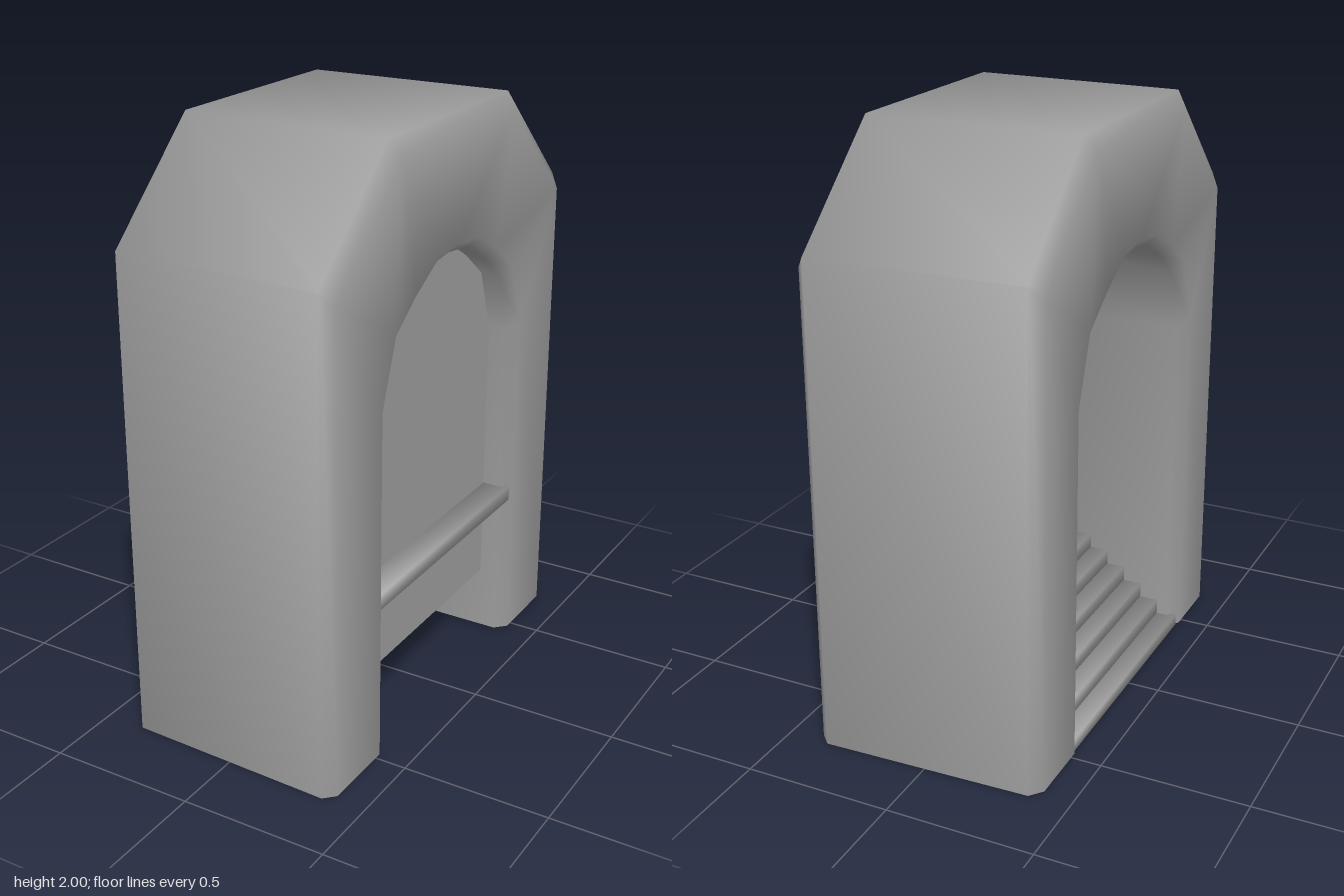
import * as THREE from 'three';
import { mergeVertices } from 'three/addons/utils/BufferGeometryUtils.js';

// Half profiles as [z, y], from the foot to the crown; mirrored to full arches.
// Repeated outer corners pair up with the finer points of the opening.
const OUTER = [[0.772, 0], [0.772, 1.65], [0.772, 1.65], [0.39, 2], [0.39, 2], [0.39, 2]];
const INNER = [[0.437, 0], [0.437, 1.17], [0.365, 1.385], [0.25, 1.475], [0.13, 1.547], [0, 1.562]];

function fullArch(half) {
  return [...half, ...half.slice(0, -1).reverse().map(([z, y]) => [-z, y])];
}

// Scale a half profile in z and in y, keeping the foot on the ground
function scaled(half, sz, sy) {
  return fullArch(half.map(([z, y]) => [z * sz, y * sy]));
}

// Weld corners and give soft normals, weighted by the angle at each corner
function soften(geometry) {
  geometry.deleteAttribute('normal');
  geometry.deleteAttribute('uv');
  const g = mergeVertices(geometry, 1e-4);
  const normals = Array.from({ length: g.attributes.position.count }, () => new THREE.Vector3());
  const corner = (i) => new THREE.Vector3().fromBufferAttribute(g.attributes.position, i);
  for (let f = 0; f < g.index.count; f += 3) {
    const ids = [0, 1, 2].map((k) => g.index.getX(f + k));
    if (new Set(ids).size < 3) continue;
    const p = ids.map(corner);
    const faceNormal = new THREE.Triangle(...p).getNormal(new THREE.Vector3());
    ids.forEach((id, k) => {
      const u = p[(k + 1) % 3].clone().sub(p[k]);
      const v = p[(k + 2) % 3].clone().sub(p[k]);
      normals[id].addScaledVector(faceNormal, u.angleTo(v));
    });
  }
  const flat = normals.flatMap((n) => n.normalize().toArray());
  g.setAttribute('normal', new THREE.Float32BufferAttribute(flat, 3));
  return g;
}

// Skin a closed ring of arch sections, leaving the feet open
function loft(sections) {
  const n = sections[0].pts.length;
  const position = [];
  const index = [];
  for (const { x, pts } of sections) for (const [z, y] of pts) position.push(x, y, z);
  sections.forEach((_, s) => {
    const a = s * n;
    const b = ((s + 1) % sections.length) * n;
    for (let i = 0; i < n - 1; i++) {
      index.push(a + i, a + i + 1, b + i, b + i, a + i + 1, b + i + 1);
    }
  });
  const g = new THREE.BufferGeometry();
  g.setAttribute('position', new THREE.Float32BufferAttribute(position, 3));
  g.setIndex(index);
  return soften(g);
}

export function createModel() {
  const model = new THREE.Group();
  const material = new THREE.MeshStandardMaterial({ color: 0x9c9c9c, side: THREE.DoubleSide });
  const add = (name, geometry, parent = model) => {
    const mesh = new THREE.Mesh(geometry, material);
    mesh.name = name;
    parent.add(mesh);
    return mesh;
  };

  // Hollow archway with chamfered rims, slightly wider towards +x
  add('archway', loft([
    { x: -0.36, pts: scaled(INNER, 1, 1) },
    { x: -0.396, pts: scaled(INNER, 1.085, 1.022) },
    { x: -0.396, pts: scaled(OUTER, 0.912, 0.973) },
    { x: -0.36, pts: scaled(OUTER, 0.968, 1) },
    { x: 0.355, pts: scaled(OUTER, 1, 1) },
    { x: 0.392, pts: scaled(OUTER, 0.952, 0.973) },
    { x: 0.392, pts: scaled(INNER, 1.085, 1.022) },
    { x: 0.355, pts: scaled(INNER, 1, 1) },
  ]));

  // Overlapping stairs climbing from -x to +x, ends sunk into the side walls
  const stairs = new THREE.Group();
  stairs.name = 'stairs';
  model.add(stairs);
  const count = 11;
  const rise = 0.0535;
  const depth = 0.1;
  for (let i = 0; i < count; i++) {
    const top = 0.578 - (count - 1 - i) * rise;
    const height = Math.min(rise, top);
    const step = add('step', soften(new THREE.BoxGeometry(depth, height, 0.915)), stairs);
    step.position.set(-0.34 + i * 0.0675, top - height / 2, 0);
  }

  // Thin panel closing the arch near the top of the stairs
  const outline = fullArch(INNER).map(([z, y]) => new THREE.Vector2(-z, Math.max(y, 0.225)));
  const panel = add('panel', new THREE.ShapeGeometry(new THREE.Shape(outline)));
  panel.rotation.y = Math.PI / 2;
  panel.position.x = 0.293;

  return model;
}
